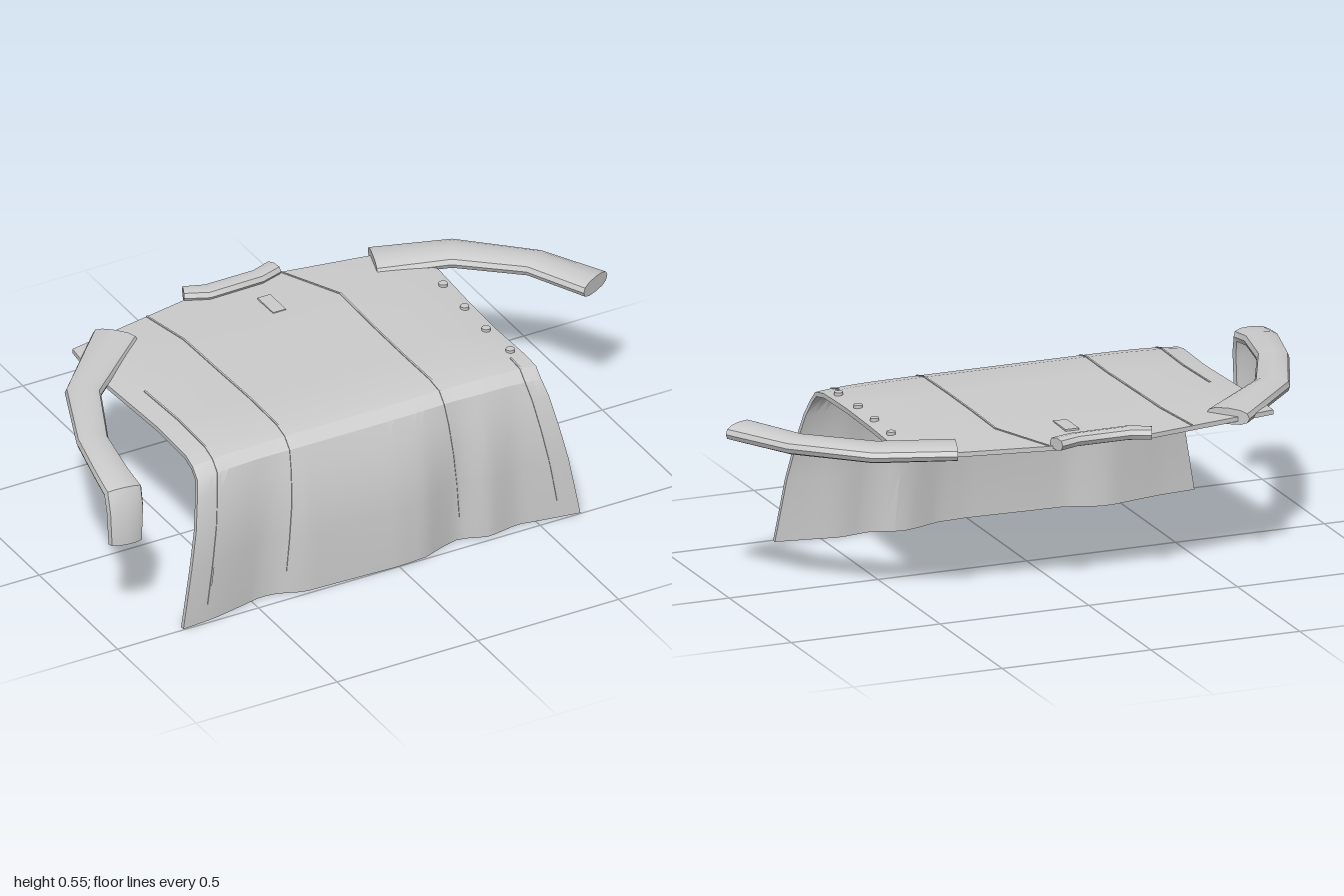
import * as THREE from 'three';
import { toCreasedNormals } from 'three/addons/utils/BufferGeometryUtils.js';

// Piecewise linear lookup in a list of [key, value] pairs
function lookup(pairs, x) {
  if (x <= pairs[0][0]) return pairs[0][1];
  for (let i = 1; i < pairs.length; i++) {
    const [x0, v0] = pairs[i - 1], [x1, v1] = pairs[i];
    if (x <= x1) return v0 + (v1 - v0) * (x - x0) / (x1 - x0);
  }
  return pairs[pairs.length - 1][1];
}

// Surface from a function of grid indices; faces toward dv x du
function grid(nu, nv, fn) {
  const pos = [], index = [];
  for (let j = 0; j <= nv; j++)
    for (let i = 0; i <= nu; i++) pos.push(...fn(i, j).toArray());
  for (let j = 0; j < nv; j++)
    for (let i = 0; i < nu; i++) {
      const a = j * (nu + 1) + i, b = a + 1, c = a + nu + 1, d = c + 1;
      index.push(a, c, b, b, c, d);
    }
  const g = new THREE.BufferGeometry();
  g.setAttribute('position', new THREE.Float32BufferAttribute(pos, 3));
  g.setIndex(index);
  return toCreasedNormals(g, 0.5);
}

// Cloth rows from neck to hem: z, y, right edge x, left edge x, tilt, ripple
const ROWS = [
  [-0.42, 0.520, -0.670, 0.420, 0.00, 0],
  [-0.25, 0.527, -0.680, 0.555, 0.00, 0],
  [-0.05, 0.527, -0.670, 0.545, 0.00, 0],
  [0.15, 0.527, -0.660, 0.540, 0.00, 0],
  [0.33, 0.527, -0.665, 0.545, 0.15, 0],
  [0.385, 0.516, -0.670, 0.550, 0.50, 0],
  [0.42, 0.485, -0.672, 0.550, 1.05, 0.1],
  [0.442, 0.420, -0.685, 0.565, 1.30, 0.3],
  [0.468, 0.320, -0.705, 0.585, 1.42, 0.6],
  [0.482, 0.200, -0.730, 0.610, 1.52, 0.85],
  [0.487, 0.000, -0.765, 0.645, 1.57, 1],
];
const NECKLINE = [[-0.67, -0.38], [-0.22, -0.465], [-0.15, -0.45], [0.03, -0.45], [0.1, -0.465], [0.42, -0.41]];
const RIPPLE = [[-0.765, 0.01], [-0.65, 0], [-0.55, -0.02], [-0.46, -0.04], [-0.4, -0.03], [-0.33, 0],
  [-0.2, 0.004], [0, 0.012], [0.1, 0.005], [0.18, -0.025], [0.24, -0.04], [0.33, -0.005],
  [0.44, -0.025], [0.52, -0.01], [0.645, 0.01]];

// Point on the cloth: u across, r along the rows, lift along the normal
function cloth(u, r, lift = 0) {
  const j = Math.min(Math.floor(r), ROWS.length - 2), t = r - j;
  const point = (k) => {
    const [z0, y0, xL, xR, tilt, ripple] = ROWS[k];
    const x = xL + (xR - xL) * u;
    const z = (k === 0 ? lookup(NECKLINE, x) : z0) + ripple * lookup(RIPPLE, x);
    const droop = k < 7 && k > 0 ? 0.012 * Math.pow(Math.abs(2 * u - 1), 6) : 0;
    return new THREE.Vector3(x, y0 - droop + Math.cos(tilt) * lift, z + Math.sin(tilt) * lift);
  };
  return point(j).lerp(point(j + 1), t);
}

// Flattened oval tube through stations [x, y, z, halfWidth, halfHeight], with closed ends
function ovalTube(stations, sides = 12) {
  const centres = stations.map((s) => new THREE.Vector3(s[0], s[1], s[2]));
  const up = new THREE.Vector3(0, 1, 0), last = stations.length - 1;
  let side = new THREE.Vector3(1, 0, 0);
  const frames = centres.map((c, k) => {
    const before = centres[Math.max(k - 1, 0)], after = centres[Math.min(k + 1, last)];
    const inDir = c.clone().sub(before).normalize(), outDir = after.clone().sub(c).normalize();
    const dir = inDir.add(outDir).normalize();
    const across = new THREE.Vector3().crossVectors(up, dir);
    if (across.length() > 0.35) side = across.normalize();
    return { side: side.clone(), rise: new THREE.Vector3().crossVectors(dir, side).normalize() };
  });
  const round = (v) => Math.sign(v) * Math.pow(Math.abs(v), 0.8);
  return grid(sides, last + 2, (i, j) => {
    const k = Math.min(Math.max(j - 1, 0), last);
    const p = centres[k].clone();
    if (j === 0 || j === last + 2) return p;
    const a = (i % sides) / sides * Math.PI * 2;
    return p.addScaledVector(frames[k].side, round(Math.cos(a)) * stations[k][3])
      .addScaledVector(frames[k].rise, -round(Math.sin(a)) * stations[k][4]);
  });
}

export function createModel() {
  const model = new THREE.Group();
  model.name = 'drapedCoat';
  const fabric = new THREE.MeshStandardMaterial({ color: 0xcccccc });
  fabric.name = 'lightGreyFabric';
  const add = (name, geometry, parent = model) => {
    const mesh = new THREE.Mesh(geometry, fabric);
    mesh.name = name;
    parent.add(mesh);
    return mesh;
  };

  // Body: lies flat, bends over the front and hangs in soft folds
  const N = 44, last = ROWS.length - 1, thick = 0.015;
  const body = new THREE.Group();
  body.name = 'body';
  model.add(body);
  add('bodyCloth', grid(2 * N + 2, last, (i, j) => {
    if (i <= N) return cloth(i / N, j);
    if (i <= 2 * N + 1) return cloth((2 * N + 1 - i) / N, j, -thick);
    return cloth(0, j);
  }), body);
  add('neckEdge', grid(N, 1, (i, j) => cloth(i / N, 0, j ? 0 : -thick)), body);
  add('hemEdge', grid(N, 1, (i, j) => cloth(i / N, last, j ? -thick : 0)), body);

  // Raised seams along the panels
  const seams = [[0.27, 0, 9.6], [0.72, 0, 9.6], [0.06, 2, 9.7], [0.955, 4, 9.7]];
  for (const [u, from, to] of seams) {
    const steps = (to - from) * 5, w = 0.0025;
    const ridge = [[-w, 0], [-w, 0.003], [w, 0.003], [w, 0]];
    add('seam', grid(3, Math.round(steps), (i, j) =>
      cloth(u + ridge[i][0], from + (to - from) * j / Math.round(steps), ridge[i][1])), body);
  }

  // Sleeves
  add('leftSleeve', ovalTube([
    [0.395, 0.518, -0.378, 0.072, 0.026],
    [0.635, 0.518, -0.303, 0.068, 0.027],
    [0.83, 0.518, -0.13, 0.06, 0.027],
    [0.935, 0.518, 0.073, 0.066, 0.027],
  ]));
  add('rightSleeve', ovalTube([
    [-0.518, 0.518, -0.38, 0.073, 0.026],
    [-0.768, 0.518, -0.137, 0.057, 0.027],
    [-0.88, 0.518, 0.125, 0.051, 0.027],
    [-0.92, 0.518, 0.312, 0.056, 0.027],
    [-0.929, 0.505, 0.405, 0.062, 0.03],
    [-0.932, 0.45, 0.424, 0.061, 0.027],
    [-0.932, 0.335, 0.426, 0.056, 0.024],
  ]));

  // Collar
  add('collar', ovalTube([
    [-0.22, 0.53, -0.482, 0.028, 0.02],
    [-0.15, 0.53, -0.453, 0.032, 0.02],
    [0.03, 0.53, -0.455, 0.03, 0.02],
    [0.1, 0.53, -0.478, 0.031, 0.02],
  ], 8));

  // Buttons down the left edge
  [[0.518, -0.15], [0.511, 0], [0.506, 0.145], [0.511, 0.29]].forEach(([x, z]) => {
    add('button', new THREE.CylinderGeometry(0.014, 0.014, 0.012, 16)).position.set(x, 0.522, z);
  });

  // Small stitched patch below the collar
  add('patch', new THREE.BoxGeometry(0.045, 0.006, 0.1)).position.set(-0.007, 0.527, -0.3);

  return model;
}
